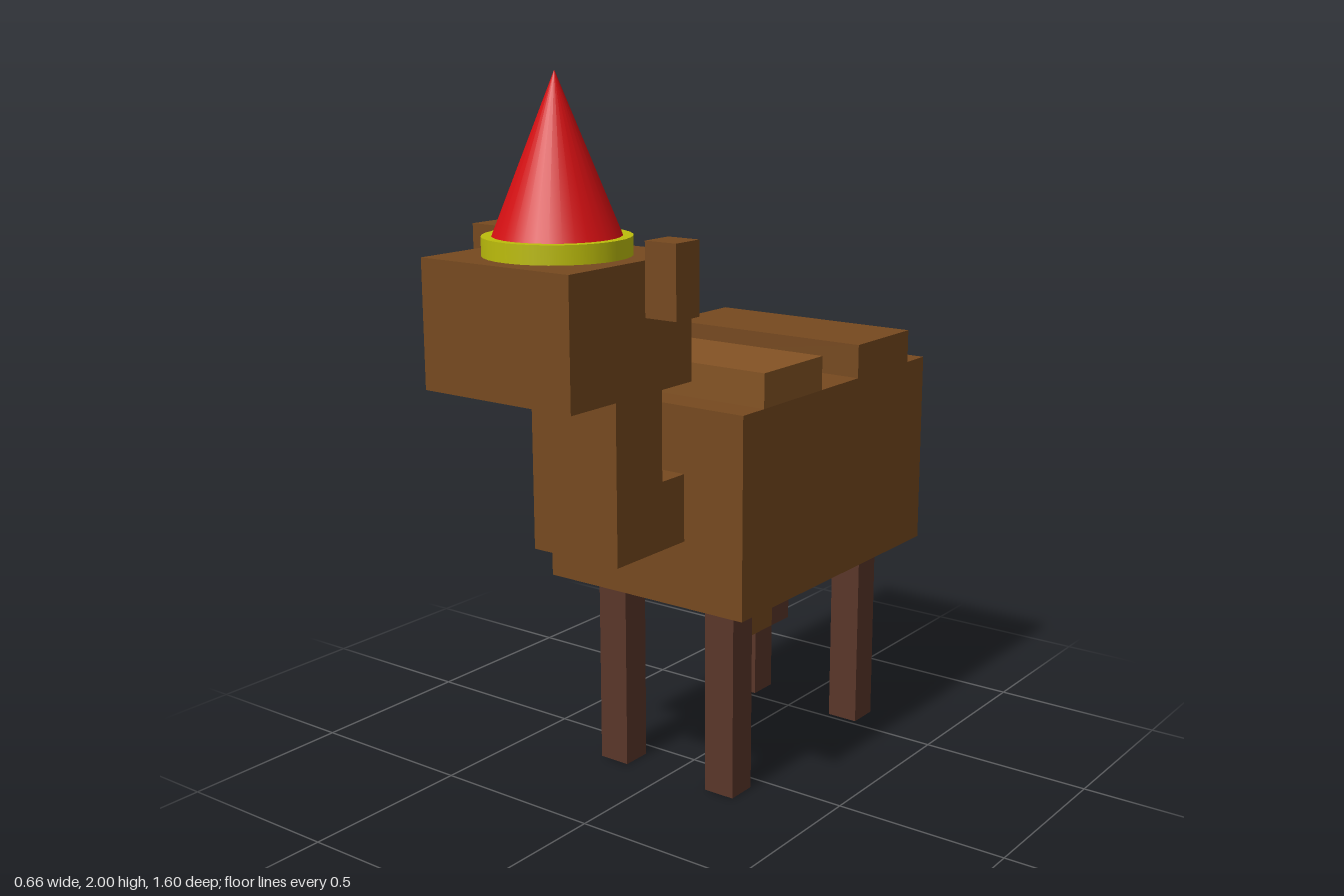
import * as THREE from 'three';

const material = (color) => new THREE.MeshStandardMaterial({ color });

export function createModel() {
  const model = new THREE.Group();
  const coat = material(0x76491f);
  const lightCoat = material(0x845324);
  const dark = material(0x593629);
  const red = material(0xd40f12);
  const yellow = material(0xbcbc0c);

  const add = (name, geometry, mat, x, y, z) => {
    const mesh = new THREE.Mesh(geometry, mat);
    mesh.name = name;
    mesh.position.set(x, y, z);
    model.add(mesh);
  };

  // Box given by its [min, max] extent on each axis
  const block = (name, mat, [x0, x1], [y0, y1], [z0, z1]) =>
    add(name, new THREE.BoxGeometry(x1 - x0, y1 - y0, z1 - z0), mat,
      (x0 + x1) / 2, (y0 + y1) / 2, (z0 + z1) / 2);

  // Body, humps and tail
  block('body', coat, [-0.329, 0.329], [0.57, 1.13], [-0.705, 0.235]);
  block('frontHump', lightCoat, [-0.329, 0.329], [1.13, 1.225], [-0.14, 0.14]);
  block('rearHump', coat, [-0.329, 0.329], [1.13, 1.225], [-0.61, -0.33]);
  block('tail', coat, [-0.14, 0.14], [0.66, 0.85], [-0.8, -0.705]);

  // Neck and head
  block('neckBase', coat, [-0.14, 0.14], [0.758, 0.945], [0.235, 0.33]);
  block('neck', coat, [-0.14, 0.14], [0.758, 1.225], [0.33, 0.518]);
  block('head', coat, [-0.235, 0.235], [1.225, 1.555], [0.33, 0.8]);

  // Mirrored ears and legs
  for (const [label, s] of [['left', 1], ['right', -1]]) {
    const side = (a, b) => [Math.min(a * s, b * s), Math.max(a * s, b * s)];
    block(label + 'Ear', coat, side(0.235, 0.329), [1.415, 1.603], [0.425, 0.518]);
    block(label + 'FrontLeg', dark, side(0.14, 0.235), [0, 0.57], [0.05, 0.14]);
    block(label + 'RearLeg', dark, side(0.14, 0.235), [0, 0.57], [-0.61, -0.518]);
  }

  // Bent piece hanging under the belly
  block('underbellyPost', dark, [-0.047, 0.047], [0.33, 0.57], [-0.42, -0.33]);
  block('underbellyBar', coat, [-0.047, 0.047], [0.33, 0.425], [-0.33, -0.14]);

  // Pointed hat on a round brim
  add('hatBrim', new THREE.CylinderGeometry(0.187, 0.187, 0.048, 32), yellow, 0, 1.579, 0.565);
  add('hatCone', new THREE.ConeGeometry(0.161, 0.397, 32), red, 0, 1.8015, 0.565);

  return model;
}
